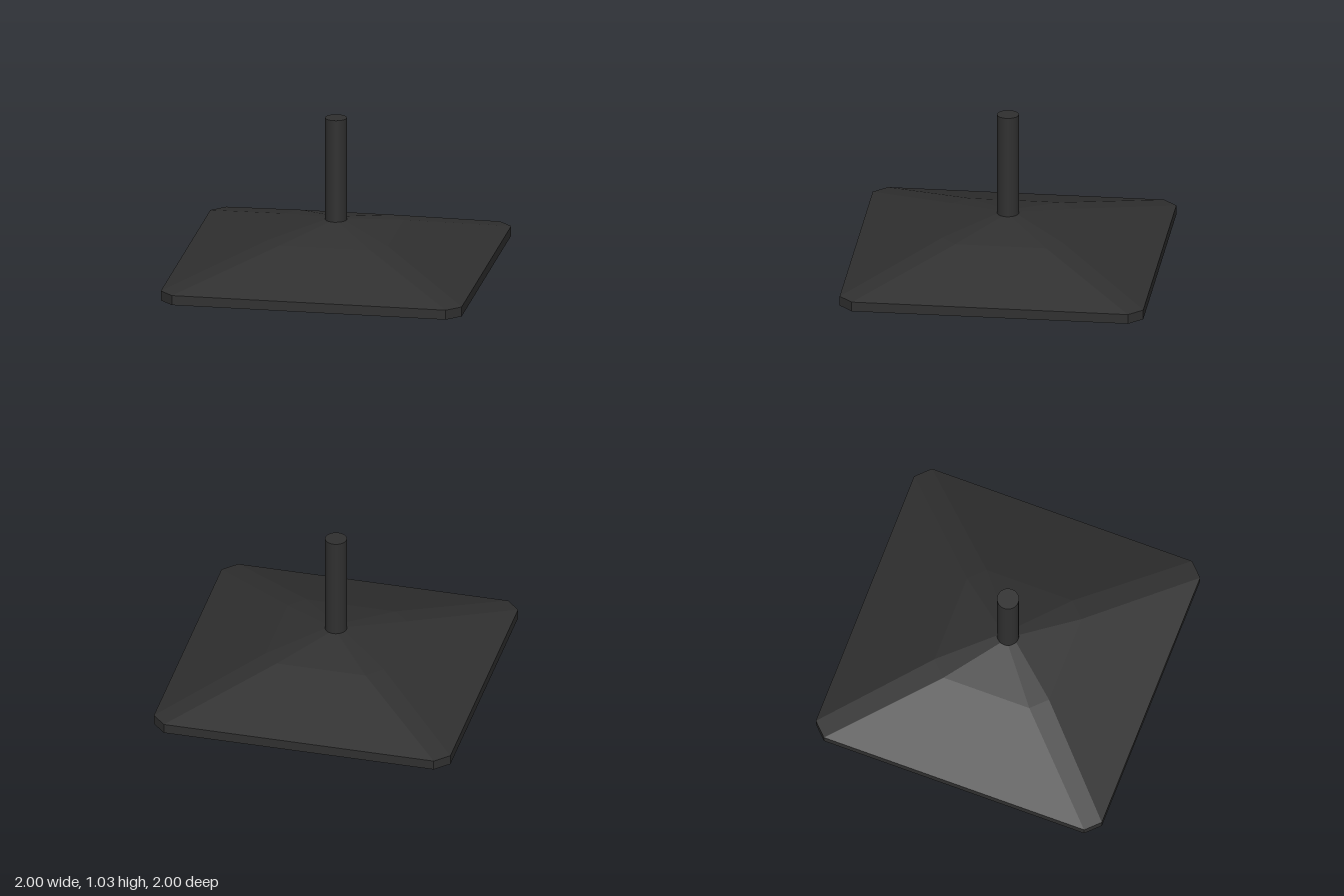
import * as THREE from 'three';

// Square ring of half-width w with corners cut by c, at height y
function ring([w, c, y]) {
  const k = w - c;
  return [[w, -k], [w, k], [k, w], [-k, w], [-w, k], [-w, -k], [-k, -w], [k, -w]]
    .map(([x, z]) => [x, y, z]);
}

// Flat-faceted skin through successive rings
function loft(sections) {
  const pos = [];
  const rings = sections.map(ring);
  for (let r = 0; r < rings.length - 1; r++) {
    const a = rings[r], b = rings[r + 1];
    for (let i = 0; i < 8; i++) {
      const j = (i + 1) % 8;
      pos.push(...a[i], ...b[i], ...b[j], ...a[i], ...b[j], ...a[j]);
    }
  }
  const geo = new THREE.BufferGeometry();
  geo.setAttribute('position', new THREE.Float32BufferAttribute(pos, 3));
  geo.computeVertexNormals();
  return geo;
}

export function createModel() {
  const group = new THREE.Group();
  const dark = new THREE.MeshStandardMaterial({ color: 0x303030 });
  const light = new THREE.MeshStandardMaterial({ color: 0xb4b4b4 });
  const add = (name, geo, mat) => {
    const mesh = new THREE.Mesh(geo, mat);
    mesh.name = name;
    group.add(mesh);
    return mesh;
  };

  // Housing: recess wall, bottom rim, outer edge, two roof slopes, closed top
  add('housing', loft([
    [0.9, 0.05, 0.035],
    [0.9, 0.05, 0],
    [1, 0.09, 0],
    [1, 0.09, 0.065],
    [0.4, 0.1, 0.26],
    [0.07, 0.04, 0.335],
    [0, 0, 0.335],
  ]), dark);

  // Recessed panel on the underside, facing down
  add('lightPanel', loft([[0, 0, 0.035], [0.9, 0.05, 0.035]]), light);

  // Round stem
  add('stem', new THREE.CylinderGeometry(0.072, 0.072, 0.71, 32), dark).position.y = 0.675;

  return group;
}
